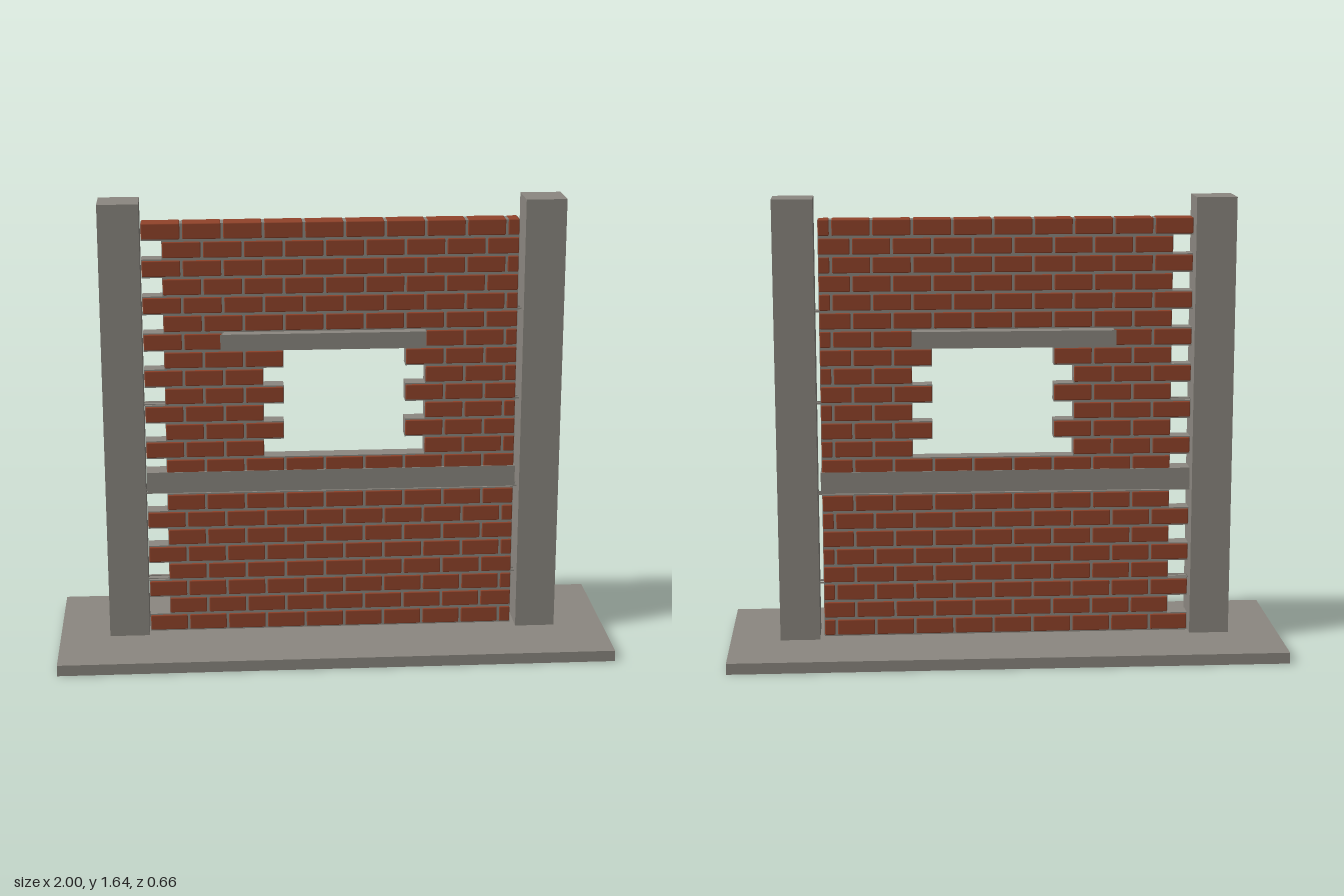
import * as THREE from 'three';
import { RoundedBoxGeometry } from 'three/addons/geometries/RoundedBoxGeometry.js';

const concrete = new THREE.MeshStandardMaterial({ color: 0x8b8780 });
concrete.name = 'concrete grey';
const clay = new THREE.MeshStandardMaterial({ color: 0x91432a });
clay.name = 'brick red';

// Box given by its extents in x and y and its depth in z
function block(name, x0, x1, y0, y1, depth, material = concrete, round = 0) {
  const w = x1 - x0, h = y1 - y0;
  const geometry = round
    ? new RoundedBoxGeometry(w, h, depth, 1, round)
    : new THREE.BoxGeometry(w, h, depth);
  const mesh = new THREE.Mesh(geometry, material);
  mesh.name = name;
  mesh.position.set((x0 + x1) / 2, (y0 + y1) / 2, 0);
  return mesh;
}

export function createModel() {
  const model = new THREE.Group();
  model.name = 'brickWall';

  // Concrete frame
  model.add(block('baseSlab', -1, 1, 0, 0.04, 0.664));
  model.add(block('rightPost', -0.82, -0.676, 0.04, 1.64, 0.144));
  model.add(block('leftPost', 0.676, 0.82, 0.04, 1.64, 0.144));
  model.add(block('bondBeam', -0.672, 0.665, 0.577, 0.655, 0.076));
  model.add(block('lintel', -0.4, 0.334, 1.103, 1.163, 0.076));

  const rows = 23, pitch = 0.0665, cell = 0.1435, joint = 0.0045, end = 0.664;

  // Toothed brick courses, leaving out the beam, lintel and window
  for (let row = 0; row < rows; row++) {
    if (row === 8) continue;
    const long = row % 2 === 0;
    const start = long ? -0.675 : -0.603;
    const y = 0.04 + row * pitch;
    const windowRow = row >= 10 && row <= 15;
    const gapFrom = row === 16 ? 2 : 3;
    const gapTo = long ? 7 : 6;
    const course = new THREE.Group();
    course.name = 'course' + (row + 1);

    for (let k = 0; start + k * cell < end - 0.02; k++) {
      if ((windowRow || row === 16) && k >= gapFrom && k < gapTo) continue;
      const x0 = start + k * cell;
      const x1 = Math.min(x0 + cell, end);
      course.add(block('brick', x0 + joint, x1 - joint, y + 0.005, y + 0.062, 0.072, clay, 0.004));
    }

    // Recessed mortar core, split at an opening
    const top = y + (row === rows - 1 ? 0.06 : pitch);
    const spans = windowRow || row === 16
      ? [[start, start + gapFrom * cell], [start + gapTo * cell, end]]
      : [[start, end]];
    for (const [a, b] of spans) {
      course.add(block('mortar', a + 0.003, b - 0.003, y, top, 0.06));
    }
    model.add(course);
  }

  // Thin ties joining the wall to the posts
  for (const row of [3, 8, 13, 18]) {
    const y = 0.04 + row * pitch;
    for (const z of [-0.015, 0.015]) {
      const spans = row === 13 ? [[-0.68, -0.25], [0.34, 0.68]] : [[-0.68, 0.68]];
      for (const [a, b] of spans) {
        const tie = block('wallTie', a, b, y - 0.003, y + 0.003, 0.006);
        tie.position.z = z;
        model.add(tie);
      }
    }
  }
  return model;
}
